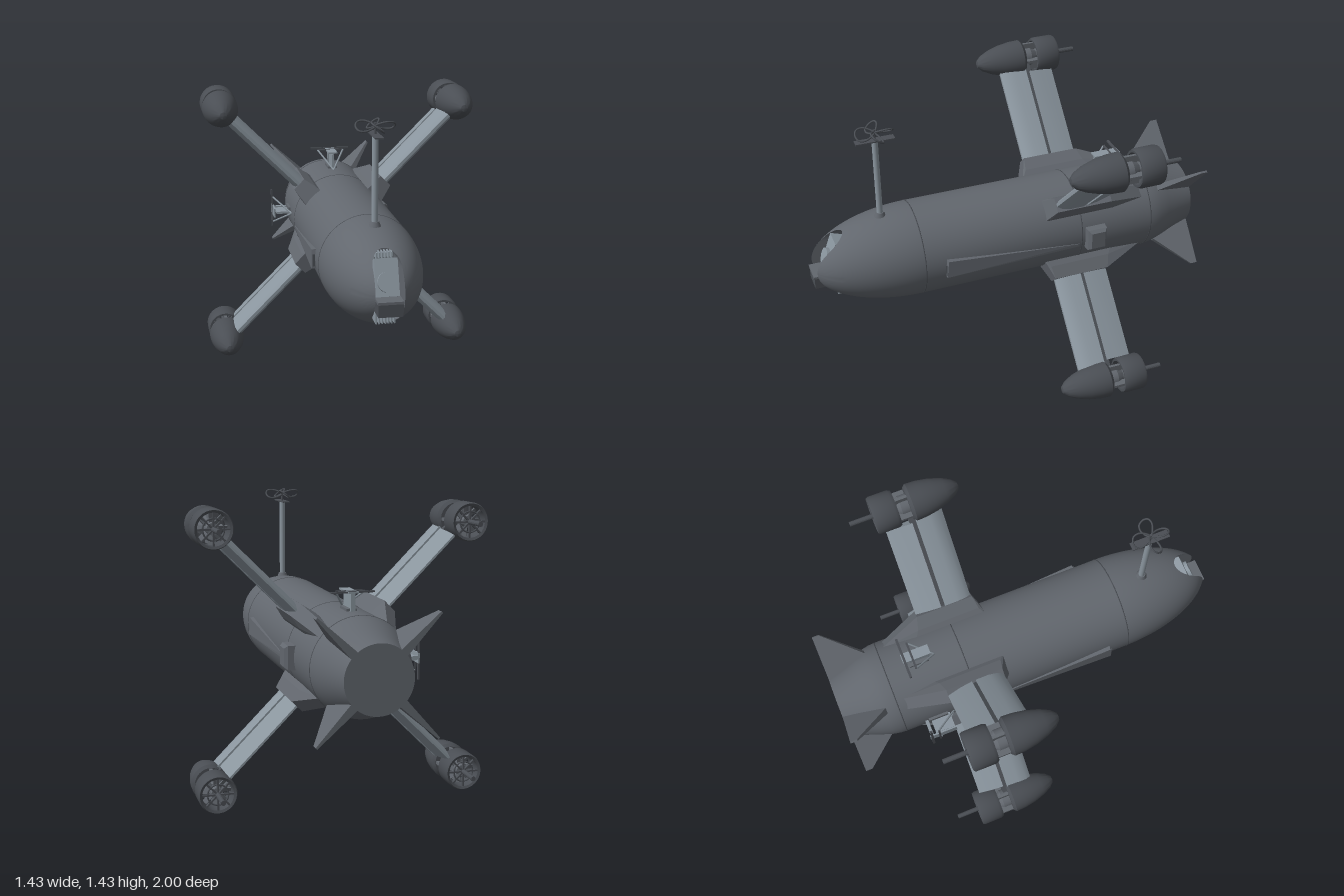
import * as THREE from 'three';
import { toCreasedNormals } from 'three/addons/utils/BufferGeometryUtils.js';
import { ConvexGeometry } from 'three/addons/geometries/ConvexGeometry.js';

const R = 0.237, AXIS = 0.715;
const mat = (color, side = THREE.FrontSide) => new THREE.MeshStandardMaterial({ color, side });
const hull = mat(0x62676e), pale = mat(0x8a959e), dark = mat(0x4a4e54);
const paleThin = mat(0x8a959e, THREE.DoubleSide), darkThin = mat(0x4a4e54, THREE.DoubleSide);
const V = (x, y, z) => new THREE.Vector3(x, y, z);

function add(parent, name, geometry, material, x = 0, y = 0, z = 0) {
  const mesh = new THREE.Mesh(geometry, material);
  mesh.name = name;
  mesh.position.set(x, y, z);
  parent.add(mesh);
  return mesh;
}
const box = (w, h, d) => new THREE.BoxGeometry(w, h, d);
// Turned part along z; points are [radius, z] with z rising
const turned = (pts, sides = 48) => toCreasedNormals(
  new THREE.LatheGeometry(pts.map(p => new THREE.Vector2(...p)), sides).rotateX(Math.PI / 2), 0.5);
// Straight round bar between two points
const bar = (a, b, r) => new THREE.TubeGeometry(new THREE.LineCurve3(a, b), 1, r, 8);
// Outline of [across, chord] extruded outward along +y, chord running to -z
function panel(pts, from, to) {
  const shape = new THREE.Shape(pts.map(p => new THREE.Vector2(...p)));
  return toCreasedNormals(new THREE.ExtrudeGeometry(shape, { depth: to - from, bevelEnabled: false })
    .rotateX(-Math.PI / 2).translate(0, from, 0), 0.6);
}

// Ellipsoid nose with a deep upright slot: rings morph from slot outline to circle
function noseGeometry() {
  const N = 96, M = 24, w = 0.066, h = 0.11, back = 0.74;
  const slot = a => {
    const c = Math.abs(Math.cos(a)), s = Math.abs(Math.sin(a));
    return w * s <= h * c ? w / c : h * s + Math.sqrt(w * w - h * h * c * c);
  };
  const pos = [], idx = [];
  for (let j = -2; j <= M; j++) for (let i = 0; i <= N; i++) {
    const a = i / N * Math.PI * 2, s = slot(a);
    const r = j === -2 ? 0 : s + (R - s) * Math.sin(Math.max(j, 0) / M * Math.PI / 2);
    const z = j < 0 ? back : 0.48 + 0.52 * Math.sqrt(Math.max(0, 1 - (r / R) ** 2));
    pos.push(r * Math.cos(a), r * Math.sin(a), z);
  }
  for (let j = 0; j < M + 2; j++) for (let i = 0; i < N; i++) {
    const a = j * (N + 1) + i, b = a + N + 1;
    idx.push(a, b, b + 1, a, b + 1, a + 1);
  }
  const g = new THREE.BufferGeometry();
  g.setAttribute('position', new THREE.Float32BufferAttribute(pos, 3));
  g.setIndex(idx);
  return toCreasedNormals(g, 0.6);
}

function makeCamera() {
  const g = new THREE.Group();
  g.name = 'noseCamera';
  add(g, 'cameraHousing', box(0.106, 0.17, 0.14), pale, 0, 0.04, 0.84).rotation.x = -0.35;
  const lens = add(g, 'cameraLens', new THREE.CylinderGeometry(0.046, 0.046, 0.03, 32), pale, 0, 0.045, 0.915);
  lens.rotation.x = Math.PI / 2 - 0.35;
  add(g, 'cameraBlock', box(0.112, 0.06, 0.21), dark, 0, -0.06, 0.89);
  add(g, 'cameraShelf', box(0.116, 0.012, 0.22), hull, 0, -0.026, 0.888);
  for (let i = 0; i < 7; i++) {
    add(g, 'lowerRib', box(0.006, 0.07, 0.09), pale, -0.042 + i * 0.014, -0.125, 0.84);
    add(g, 'upperRib', box(0.006, 0.03, 0.05), pale, -0.042 + i * 0.014, 0.135, 0.79);
  }
  return g;
}

// Wing, propulsion pod and root fairing, standing along +y
function makeWing() {
  const g = new THREE.Group();
  g.name = 'wing';
  add(g, 'wingFrontPanel', panel([[0.008, 0.2], [0.024, 0.225], [0.032, 0.27], [0.032, 0.337],
    [-0.032, 0.337], [-0.032, 0.27], [-0.024, 0.225], [-0.008, 0.2]], 0.2, 0.83), pale);
  add(g, 'wingSpar', box(0.04, 0.63, 0.04), dark, 0, 0.515, -0.348);
  add(g, 'wingRearPanel', panel([[0.031, 0.357], [0.022, 0.42], [0.005, 0.488],
    [-0.005, 0.488], [-0.022, 0.42], [-0.031, 0.357]], 0.2, 0.785), pale);
  const root = [];
  for (const s of [-1, 1]) root.push(V(s * 0.055, 0.2, -0.15), V(s * 0.055, 0.2, -0.54), V(s * 0.052, 0.26, -0.185),
    V(s * 0.052, 0.26, -0.505), V(s * 0.037, 0.325, -0.197), V(s * 0.037, 0.325, -0.488), V(s * 0.03, 0.222, -0.72));
  add(g, 'wingRoot', new ConvexGeometry(root), hull);

  const pod = new THREE.Group();
  pod.name = 'propulsionPod';
  pod.position.y = 0.62 * Math.SQRT2;
  g.add(pod);
  add(pod, 'podNose', turned([[0, -0.345], [0.078, -0.345], [0.092, -0.33], [0.09, -0.28], [0.08, -0.22],
    [0.062, -0.16], [0.04, -0.115], [0.018, -0.092], [0, -0.087]], 36), dark);
  add(pod, 'podHub', turned([[0, -0.5], [0.028, -0.5], [0.028, -0.42], [0.05, -0.385], [0.05, -0.34], [0, -0.34]], 24), hull);
  add(pod, 'thrusterShroud', turned([[0.076, -0.41], [0.076, -0.52], [0.088, -0.525], [0.093, -0.515],
    [0.093, -0.42], [0.086, -0.405], [0.076, -0.405]], 36), darkThin);
  add(pod, 'tailShaft', turned([[0, -0.638], [0.012, -0.638], [0.012, -0.48], [0, -0.48]], 12), dark);
  for (let i = 0; i < 8; i++) {
    const spoke = new THREE.Group();
    spoke.name = 'shroudSpoke';
    spoke.rotation.z = i * Math.PI / 4;
    pod.add(spoke);
    add(spoke, 'rearGuard', box(0.008, 0.068, 0.014), dark, 0, 0.046, -0.512);
    add(spoke, 'fanBlade', box(0.026, 0.06, 0.005), hull, 0, 0.046, -0.45).rotation.y = 0.6;
    if (i % 2) add(spoke, 'podStrut', box(0.014, 0.035, 0.1), hull, 0, 0.058, -0.38);
  }
  add(pod, 'guardRing', new THREE.TorusGeometry(0.05, 0.004, 6, 32), dark, 0, 0, -0.515);
  return g;
}

// Small cross-bar aerial on the hull, standing along +y
function makeAerial() {
  const g = new THREE.Group();
  g.name = 'hullAerial';
  add(g, 'aerialFin', panel([[-0.006, 0.5], [0.006, 0.5], [0.006, 0.6], [-0.006, 0.6]], 0.225, 0.315), pale);
  add(g, 'aerialPost', box(0.02, 0.1, 0.016), pale, 0, 0.275, -0.622);
  add(g, 'aerialFoot', box(0.05, 0.02, 0.1), hull, 0, 0.238, -0.56);
  add(g, 'longBar', box(0.21, 0.008, 0.012), dark, 0, 0.327, -0.625);
  add(g, 'shortBar', box(0.14, 0.006, 0.01), dark, 0, 0.327, -0.585);
  add(g, 'aerialTop', box(0.05, 0.008, 0.14), pale, 0, 0.325, -0.565);
  for (const s of [-1, 1]) add(g, 'aerialStrut', bar(V(0, 0.235, -0.475), V(s * 0.07, 0.325, -0.585), 0.005), pale);
  return g;
}

// Mast topped with a four-loop cloverleaf aerial
function makeMast() {
  const g = new THREE.Group();
  g.name = 'mast';
  g.position.z = 0.635;
  add(g, 'mastFoot', new THREE.CylinderGeometry(0.02, 0.035, 0.04, 24), hull, 0, 0.225, 0);
  add(g, 'mastPole', new THREE.CylinderGeometry(0.015, 0.015, 0.44, 24), pale, 0, 0.425, 0);
  add(g, 'mastPlate', box(0.04, 0.006, 0.19), dark, 0, 0.645, 0);
  add(g, 'mastTip', new THREE.CylinderGeometry(0.006, 0.006, 0.06, 12), dark, 0, 0.67, 0);
  const loop = new THREE.CatmullRomCurve3([V(0, 0.685, 0), V(0.045, 0.705, 0.026), V(0.078, 0.702, 0.022),
    V(0.09, 0.685, 0), V(0.078, 0.668, -0.022), V(0.045, 0.666, -0.026)], true);
  const geometry = new THREE.TubeGeometry(loop, 40, 0.0045, 8, true);
  for (let i = 0; i < 4; i++) add(g, 'cloverLoop', geometry, dark).rotation.y = i * Math.PI / 2;
  return g;
}

export function createModel() {
  const model = new THREE.Group();
  model.name = 'underwaterDrone';
  const body = new THREE.Group();
  body.name = 'body';
  body.position.y = AXIS;
  model.add(body);

  // Hull, nose and tail
  add(body, 'nose', noseGeometry(), hull);
  add(body, 'hull', turned([[R, -0.73], [R, 0.48]], 64), hull);
  add(body, 'tailCone', turned([[0, -1], [0.163, -1], [0.185, -0.92], [0.21, -0.85], [0.227, -0.8], [0.235, -0.76], [R, -0.73]], 64), hull);
  for (const z of [0.48, -0.345, -0.73])
    add(body, 'seamRing', new THREE.TorusGeometry(R - 0.001, 0.003, 6, 64), dark, 0, 0, z);
  body.add(makeCamera(), makeMast());

  // Four diagonal wings and tail fins
  for (let i = 0; i < 4; i++) {
    const quarter = new THREE.Group();
    quarter.name = 'wingAndFin';
    quarter.rotation.z = Math.PI / 4 + i * Math.PI / 2;
    quarter.add(makeWing());
    const fin = [];
    for (const s of [-1, 1]) fin.push(V(s * 0.022, 0.15, -0.77), V(s * 0.022, 0.14, -1), V(s * 0.016, 0.232, -0.79),
      V(s * 0.005, 0.402, -0.965), V(s * 0.005, 0.402, -1));
    add(quarter, 'tailFin', new ConvexGeometry(fin), hull);
    body.add(quarter);
  }

  // Tapered side strakes with a front inlet
  for (const s of [-1, 1]) {
    const pts = [[0.2, -0.055, 0.38], [0.2, 0.055, 0.38], [0.256, -0.045, 0.38], [0.252, 0.045, 0.37],
      [0.2, -0.055, -0.33], [0.2, -0.03, -0.33], [0.237, -0.045, -0.33], [0.238, -0.03, -0.33]];
    add(body, 'sideStrake', new ConvexGeometry(pts.map(([x, y, z]) => V(s * x, y, z))), hull);
    add(body, 'strakeInlet', box(0.012, 0.06, 0.004), dark, s * 0.244, -0.005, 0.381);
  }

  // Aerials on the back and right flank, sensor box on the left flank
  const sideAerial = makeAerial();
  sideAerial.rotation.z = Math.PI / 2;
  body.add(makeAerial(), sideAerial);
  add(body, 'sensorBox', new ConvexGeometry([-1, 1].flatMap(s => [-1, 1].flatMap(t =>
    [V(0.2, s * 0.06, -0.415 + t * 0.055), V(0.265, s * 0.058, -0.415 + t * 0.05), V(0.282, s * 0.045, -0.415 + t * 0.036)]))), hull);
  add(body, 'keelPlate', box(0.05, 0.02, 0.3), hull, 0, -0.231, 0.2);
  return model;
}
